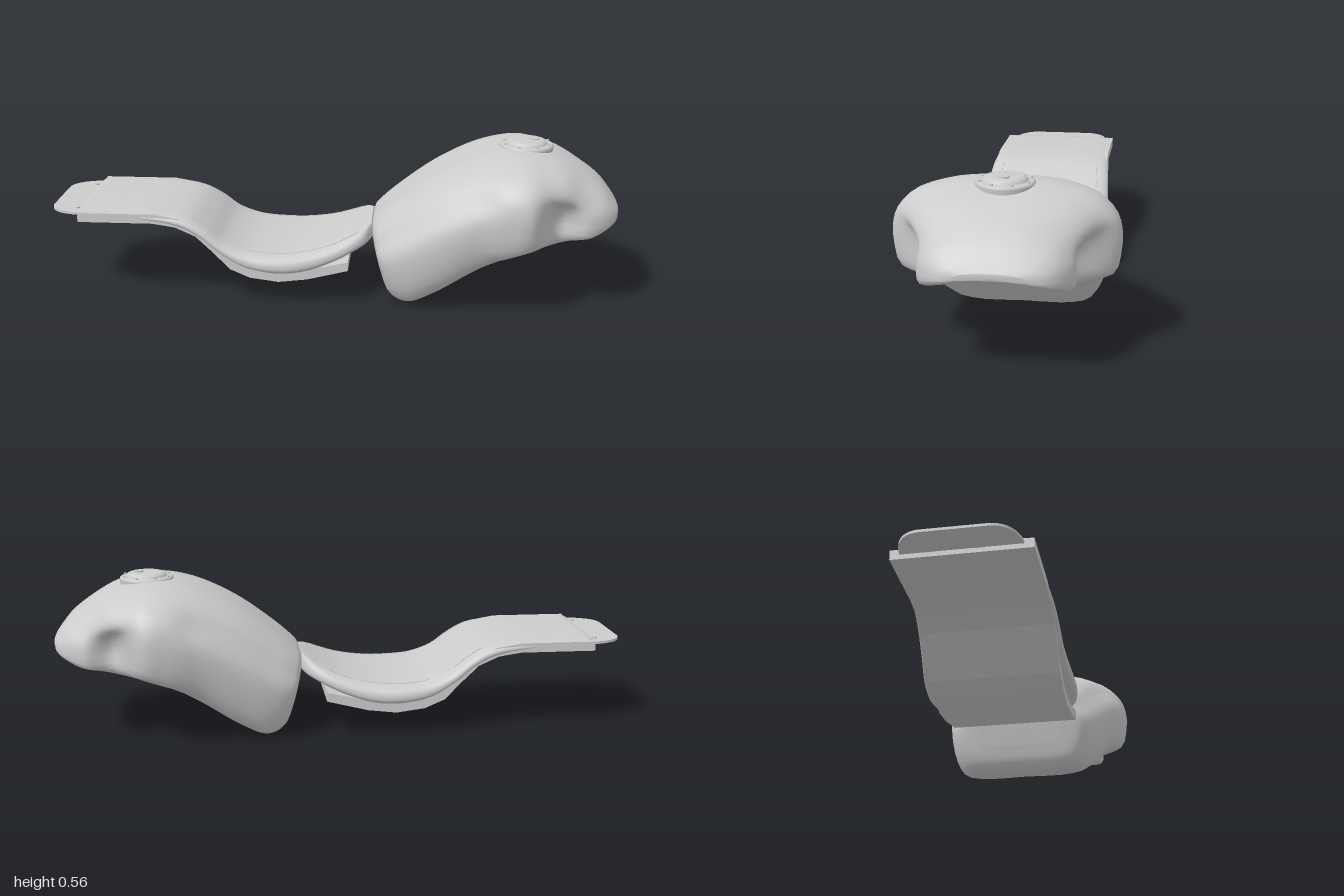
import * as THREE from 'three';

const HALF = 24; // samples on one half of a cross-section

// Half cross-sections, bottom centre to top centre: [share of half width, share of height]
const KNEE = [[0, 0], [.55, 0], [.81, .05], [.93, .2], [1, .46], [.98, .62], [.86, .76], [.77, .87], [.58, .96], [.28, 1], [0, 1]];
const FULL = [[0, 0], [.5, 0], [.78, .02], [.94, .09], [1, .35], [1, .55], [.95, .71], [.8, .87], [.55, .96], [.28, 1], [0, 1]];
const DENT = [[0, .02], [.45, .01], [.73, 0], [.81, .1], [.78, .32], [.85, .5], [.98, .63], [.96, .75], [.8, .89], [.4, .99], [0, 1]];
const NOSE = [[0, .14], [.45, .12], [.82, .02], [.98, .05], [1, .3], [.98, .48], [.92, .64], [.8, .8], [.55, .93], [.28, .99], [0, 1]];
const PAD = [[0, 0], [.85, 0], [.97, .12], [1, .4], [.96, .72], [.86, .91], [.6, .98], [0, 1]];

// Closed ring for a station: [bottomX, bottomY, topX, topY, halfWidth, section]
function ring([bx, by, tx, ty, w, section]) {
  const curve = new THREE.CatmullRomCurve3(section.map(([z, h]) => new THREE.Vector3(0, h, z)));
  const half = [];
  for (let i = 0; i <= HALF; i++) {
    const p = curve.getPoint(i / HALF);
    half.push(new THREE.Vector3(bx + (tx - bx) * p.y, by + (ty - by) * p.y, p.z * w));
  }
  const mirrored = half.slice(1, HALF).reverse().map(p => new THREE.Vector3(p.x, p.y, -p.z));
  return [...half, ...mirrored];
}

// Lengthwise curves through matching points of all rings
function makeRails(stations) {
  const rings = stations.map(ring);
  return rings[0].map((_, j) => new THREE.CatmullRomCurve3(rings.map(r => r[j])));
}

// Smooth closed skin over the rails
function skin(rails, steps) {
  const n = rails.length, pos = [], index = [];
  for (let i = 0; i <= steps; i++) {
    for (const rail of rails) pos.push(...rail.getPoint(i / steps).toArray());
  }
  for (let i = 0; i < steps; i++) {
    for (let j = 0; j < n; j++) {
      const k = (j + 1) % n, a = i * n, b = a + n;
      index.push(a + j, b + j, a + k, a + k, b + j, b + k);
    }
  }
  for (const end of [0, 1]) {
    const centre = new THREE.Vector3(), c = pos.length / 3, o = end * steps * n;
    rails.forEach(r => centre.addScaledVector(r.getPoint(end), 1 / n));
    pos.push(...centre.toArray());
    for (let j = 0; j < n; j++) {
      const k = (j + 1) % n;
      if (end) index.push(c, o + k, o + j); else index.push(c, o + j, o + k);
    }
  }
  const g = new THREE.BufferGeometry();
  g.setAttribute('position', new THREE.Float32BufferAttribute(pos, 3));
  g.setIndex(index);
  g.computeVertexNormals();
  return g;
}

export function createModel() {
  const model = new THREE.Group();
  model.name = 'tankAndSeat';
  const grey = new THREE.MeshStandardMaterial({ color: 0xcccccc });
  grey.name = 'light grey';
  const add = (name, geometry, parent = model) => {
    const mesh = new THREE.Mesh(geometry, grey);
    mesh.name = name;
    parent.add(mesh);
    return mesh;
  };

  // Fuel tank: leaning sections from the seat end to the nose
  add('fuelTank', skin(makeRails([
    [.18, .09, .141, .235, .15, KNEE],
    [.205, .03, .148, .272, .222, KNEE],
    [.235, .006, .18, .305, .25, KNEE],
    [.28, 0, .26, .37, .275, KNEE],
    [.37, .045, .37, .445, .302, KNEE],
    [.5, .135, .5, .505, .332, KNEE],
    [.61, .2, .6, .53, .353, FULL],
    [.69, .227, .69, .531, .35, FULL],
    [.79, .24, .79, .508, .275, DENT],
    [.88, .257, .88, .462, .238, NOSE],
    [.945, .282, .945, .412, .205, NOSE],
    [.985, .305, .982, .368, .155, NOSE],
    [.998, .32, 1, .343, .1, NOSE],
  ]), 96));

  // Filler cap with ring, bolts and lock
  const cap = new THREE.Group();
  cap.name = 'fillerCap';
  cap.position.set(.68, 0, 0);
  model.add(cap);
  const profile = [[.09, .5], [.094, .528], [.093, .535], [.088, .539], [.076, .54], [.073, .537], [.07, .541],
    [.067, .549], [.055, .553], [0, .554]].map(p => new THREE.Vector2(...p));
  add('capBody', new THREE.LatheGeometry(profile, 48), cap);
  add('capLock', new THREE.CylinderGeometry(.017, .017, .006, 24), cap).position.set(.027, .555, 0);
  for (let i = 0; i < 8; i++) {
    const a = (i + .5) * Math.PI / 4;
    add('capBolt', new THREE.CylinderGeometry(.005, .005, .006, 10), cap)
      .position.set(Math.cos(a) * .082, .541, Math.sin(a) * .082);
  }

  // Seat base: bent sheet of constant width
  const base = new THREE.Shape([
    [-.885, .28], [-.62, .28], [-.54, .268], [-.47, .237], [-.41, .18], [-.35, .118], [-.28, .088], [-.18, .075],
    [-.08, .087], [.065, .123], [.065, .155], [-.08, .122], [-.18, .11], [-.28, .123], [-.35, .153],
    [-.4, .208], [-.46, .262], [-.53, .298], [-.62, .313], [-.885, .313],
  ].map(p => new THREE.Vector2(...p)));
  const baseGeometry = new THREE.ExtrudeGeometry(base, { depth: .444, bevelEnabled: false });
  baseGeometry.translate(0, 0, -.222);
  add('seatBase', baseGeometry);

  // Padded seat, dipped in the middle and narrowing towards the tank
  const padRails = makeRails([
    [-.885, .295, -.885, .316, .215, PAD],
    [-.75, .29, -.75, .317, .22, PAD],
    [-.62, .284, -.61, .316, .224, PAD],
    [-.53, .268, -.5, .3, .23, PAD],
    [-.46, .235, -.43, .262, .235, PAD],
    [-.39, .18, -.37, .218, .24, PAD],
    [-.3, .13, -.29, .189, .251, PAD],
    [-.19, .11, -.19, .18, .257, PAD],
    [-.09, .115, -.1, .185, .245, PAD],
    [.01, .145, 0, .205, .22, PAD],
    [.08, .176, .065, .23, .193, PAD],
    [.125, .198, .115, .254, .158, PAD],
    [.15, .215, .143, .268, .1, PAD],
  ]);
  add('seatPad', skin(padRails, 84));

  // Stitching along both sides of the pad
  const stitches = new THREE.Group();
  stitches.name = 'stitching';
  model.add(stitches);
  for (const rail of [padRails[18], padRails[2 * HALF - 18]]) {
    for (let i = 0; i < 100; i++) {
      const p = rail.getPoint(i / 100), d = rail.getTangent(i / 100);
      if (!((p.x > -.49 && p.x < -.39) || (p.x > -.3 && p.x < .1))) continue;
      const stitch = add('stitch', new THREE.BoxGeometry(.008, .004, .004), stitches);
      stitch.position.copy(p);
      stitch.quaternion.setFromUnitVectors(new THREE.Vector3(1, 0, 0), d);
    }
  }

  // Rounded mounting tongue behind the seat, with screws
  const tongue = new THREE.Shape();
  tongue.moveTo(-.86, -.193);
  tongue.lineTo(-.86, .193);
  tongue.lineTo(-.9, .19);
  tongue.bezierCurveTo(-.96, .18, -1, .15, -1, .1);
  tongue.lineTo(-1, -.1);
  tongue.bezierCurveTo(-1, -.15, -.96, -.18, -.9, -.19);
  const tongueGeometry = new THREE.ExtrudeGeometry(tongue, { depth: .009, bevelEnabled: false, curveSegments: 16 });
  tongueGeometry.rotateX(-Math.PI / 2);
  add('tailTongue', tongueGeometry).position.y = .296;
  for (const z of [-.14, .14]) {
    add('tongueScrew', new THREE.CylinderGeometry(.008, .008, .006, 12)).position.set(-.905, .307, z);
  }
  return model;
}
